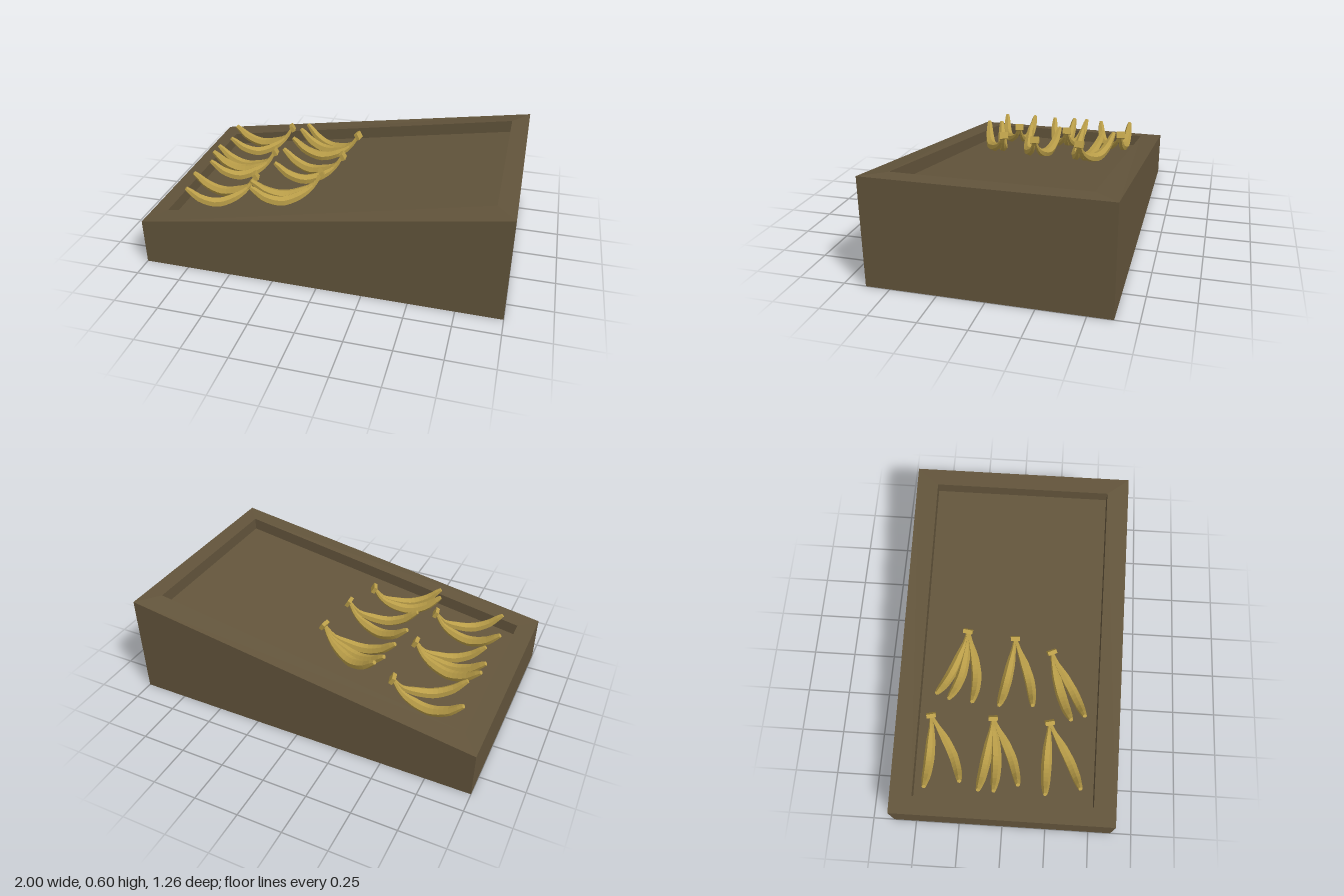
import * as THREE from 'three';

const wood = new THREE.MeshStandardMaterial({ color: 0x62543b });
wood.name = 'brown wood';
const yellow = new THREE.MeshStandardMaterial({ color: 0xb99d48 });
yellow.name = 'banana yellow';

const floorY = (x) => 0.366 + 0.173 * x;

// Sloped crate: corner loops run counter-clockwise seen from above
function makeCrate() {
  const loop = (x, z, low, high) => [
    [-x, low, z], [x, high, z], [x, high, -z], [-x, low, -z],
  ];
  const loops = [
    loop(1, 0.63, 0, 0),            // base
    loop(1, 0.63, 0.265, 0.595),    // outer rim
    loop(0.9, 0.505, 0.281, 0.593), // inner rim
    loop(0.9, 0.505, floorY(-0.9), floorY(0.9)), // tray floor
  ];
  const pos = [];
  const quad = (a, b, c, d) => [a, b, c, a, c, d].forEach((p) => pos.push(...p));
  for (let k = 0; k < 3; k++) {
    for (let i = 0; i < 4; i++) {
      const j = (i + 1) % 4;
      quad(loops[k][i], loops[k][j], loops[k + 1][j], loops[k + 1][i]);
    }
  }
  quad(...loops[3]);
  quad(...[...loops[0]].reverse());
  const geo = new THREE.BufferGeometry();
  geo.setAttribute('position', new THREE.Float32BufferAttribute(pos, 3));
  geo.computeVertexNormals();
  const mesh = new THREE.Mesh(geo, wood);
  mesh.name = 'slopedCrate';
  return mesh;
}

// Along a banana: [fraction from knot to tip, height above floor, radius]
const PROFILE = [
  [0, 0.135, 0.009], [0.12, 0.07, 0.014], [0.3, 0.04, 0.026], [0.55, 0.036, 0.03],
  [0.8, 0.085, 0.026], [0.94, 0.14, 0.018], [1, 0.163, 0.012],
];

function radiusAt(t) {
  const s = t * (PROFILE.length - 1);
  const i = Math.min(Math.floor(s), PROFILE.length - 2);
  return THREE.MathUtils.lerp(PROFILE[i][2], PROFILE[i + 1][2], s - i);
}

// Tapered faceted tube whose end rings close into flat caps
function makeBanana(knot, [tx, tz, bow]) {
  const [kx, kz] = knot;
  const curve = new THREE.CatmullRomCurve3(PROFILE.map(([f, h]) => {
    const x = kx + (tx - kx) * f;
    const z = kz + (tz - kz) * f + bow * Math.sin(Math.PI * f);
    return new THREE.Vector3(x, floorY(x) + h, z);
  }));
  const rings = 18, sides = 6;
  const tube = new THREE.TubeGeometry(curve, rings, 1, sides);
  const p = tube.attributes.position;
  const v = new THREE.Vector3();
  for (let i = 0; i <= rings; i++) {
    const centre = curve.getPointAt(i / rings);
    const end = i === 0 || i === rings;
    const u = THREE.MathUtils.clamp((i - 1) / (rings - 2), 0, 1);
    const target = curve.getPointAt(u);
    const r = end ? 0 : radiusAt(curve.getUtoTmapping(u));
    for (let j = 0; j <= sides; j++) {
      const n = i * (sides + 1) + j;
      v.fromBufferAttribute(p, n).sub(centre).multiplyScalar(r).add(target);
      p.setXYZ(n, v.x, v.y, v.z);
    }
  }
  const geo = tube.toNonIndexed();
  geo.computeVertexNormals();
  const mesh = new THREE.Mesh(geo, yellow);
  mesh.name = 'banana';
  return mesh;
}

// Bunches: knot [x, z] and each banana's tip [x, z, sideways bow]
const BUNCHES = [
  { knot: [-0.47, -0.425], tips: [[-0.86, -0.43, 0], [-0.82, -0.24, 0.03]] },
  { knot: [-0.465, -0.08], tips: [[-0.86, -0.135, 0], [-0.86, -0.05, 0.015], [-0.82, 0.08, 0.03]] },
  { knot: [-0.47, 0.235], tips: [[-0.86, 0.23, 0], [-0.82, 0.42, 0.03]] },
  { knot: [0.01, -0.255], tips: [[-0.355, -0.4, 0], [-0.38, -0.33, 0.015], [-0.39, -0.2, 0.03]] },
  { knot: [-0.015, 0.015], tips: [[-0.4, -0.05, 0], [-0.39, 0.135, 0.03]] },
  { knot: [-0.08, 0.225], tips: [[-0.455, 0.35, 0], [-0.43, 0.425, 0.03]] },
];

function makeBunch({ knot, tips }) {
  const bunch = new THREE.Group();
  bunch.name = 'bananaBunch';
  tips.forEach((tip) => bunch.add(makeBanana(knot, tip)));
  // Cut stem end joining the bananas
  const stem = new THREE.Mesh(new THREE.BoxGeometry(0.022, 0.04, 0.052), yellow);
  stem.name = 'stemKnot';
  stem.position.set(knot[0], floorY(knot[0]) + 0.133, knot[1]);
  const mean = tips.reduce((s, t) => s + Math.atan2(t[1] - knot[1], knot[0] - t[0]), 0) / tips.length;
  stem.rotation.set(0, mean, 0.5);
  bunch.add(stem);
  return bunch;
}

export function createModel() {
  const model = new THREE.Group();
  model.name = 'bananaDisplayCrate';
  model.add(makeCrate());
  BUNCHES.forEach((b) => model.add(makeBunch(b)));
  return model;
}
